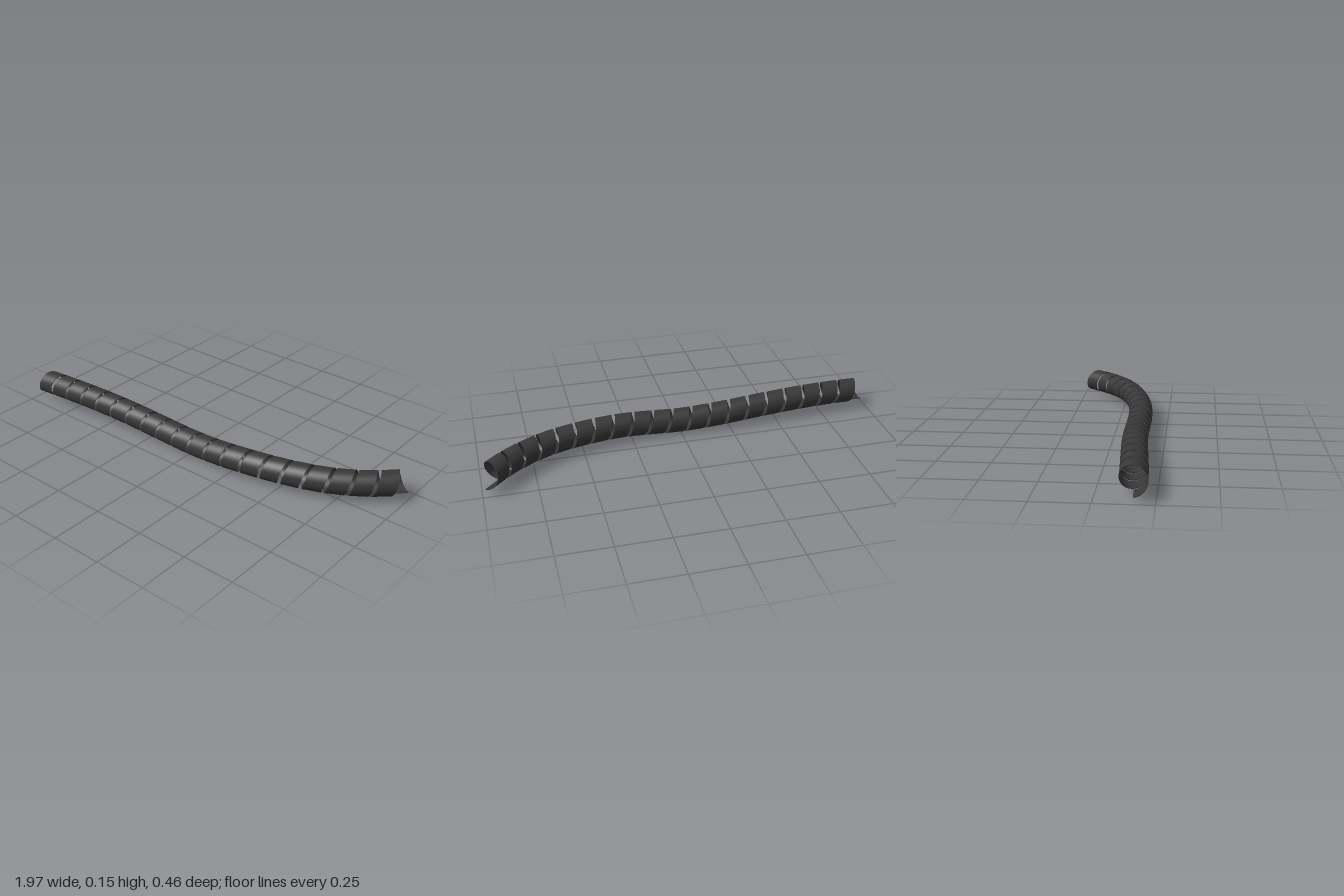
import * as THREE from 'three';

const RADIUS = 0.059, THICKNESS = 0.003, WIDTH = 0.083, TURNS = 20, STEPS = 36;

export function createModel() {
  const group = new THREE.Group();
  group.name = 'spiralWrap';

  // gently bent centre line of the sleeve
  const axis = new THREE.CatmullRomCurve3([
    [-0.99, 0.084, 0.162], [-0.8, 0.09, 0.153], [-0.6, 0.089, 0.14], [-0.4, 0.081, 0.128],
    [-0.2, 0.068, 0.12], [0, 0.06, 0.118], [0.15, 0.066, 0.119], [0.3, 0.075, 0.11],
    [0.5, 0.079, 0.074], [0.7, 0.08, 0.006], [0.87, 0.079, -0.102], [0.985, 0.079, -0.215],
  ].map((p) => new THREE.Vector3(...p)));
  axis.arcLengthDivisions = 1000;
  const length = axis.getLength();
  const up = new THREE.Vector3(0, 1, 0);

  // point at distance s along the centre line, turned by angle a from the top
  const pointAt = (s, a, r) => {
    const u = THREE.MathUtils.clamp(s / length, 0, 1);
    const side = axis.getTangentAt(u).cross(up).normalize();
    const lift = new THREE.Vector3().crossVectors(side, axis.getTangentAt(u));
    return axis.getPointAt(u).addScaledVector(lift, r * Math.cos(a)).addScaledVector(side, r * Math.sin(a));
  };

  // the four long edges of the ribbon: both rims, outside and inside
  const edges = [[], [], [], []];
  const count = TURNS * STEPS;
  for (let i = 0; i <= count; i++) {
    const a = Math.PI - (i / STEPS) * Math.PI * 2;
    const lo = (length - WIDTH) * (i / count), hi = lo + WIDTH;
    edges[0].push(pointAt(hi, a, RADIUS));
    edges[1].push(pointAt(lo, a, RADIUS));
    edges[2].push(pointAt(lo, a, RADIUS - THICKNESS));
    edges[3].push(pointAt(hi, a, RADIUS - THICKNESS));
  }

  // each side has its own vertices, so the rims stay sharp
  const positions = [], index = [];
  const add = (v) => positions.push(v.x, v.y, v.z) / 3 - 1;
  for (let k = 0; k < 4; k++) {
    const p = edges[k], q = edges[(k + 1) % 4];
    for (let i = 0; i <= count; i++) {
      const n = add(p[i]);
      add(q[i]);
      if (i < count) index.push(n, n + 2, n + 1, n + 1, n + 2, n + 3);
    }
  }
  // cut ends of the ribbon
  for (const [i, order] of [[0, [0, 1, 2, 3]], [count, [3, 2, 1, 0]]]) {
    const n = order.map((k) => add(edges[k][i]))[0];
    index.push(n, n + 1, n + 2, n, n + 2, n + 3);
  }

  const geometry = new THREE.BufferGeometry();
  geometry.setAttribute('position', new THREE.Float32BufferAttribute(positions, 3));
  geometry.setIndex(index);
  geometry.computeVertexNormals();
  const ribbon = new THREE.Mesh(geometry, new THREE.MeshStandardMaterial({ color: 0x383838 }));
  ribbon.name = 'coiledRibbon';
  group.add(ribbon);
  return group;
}
